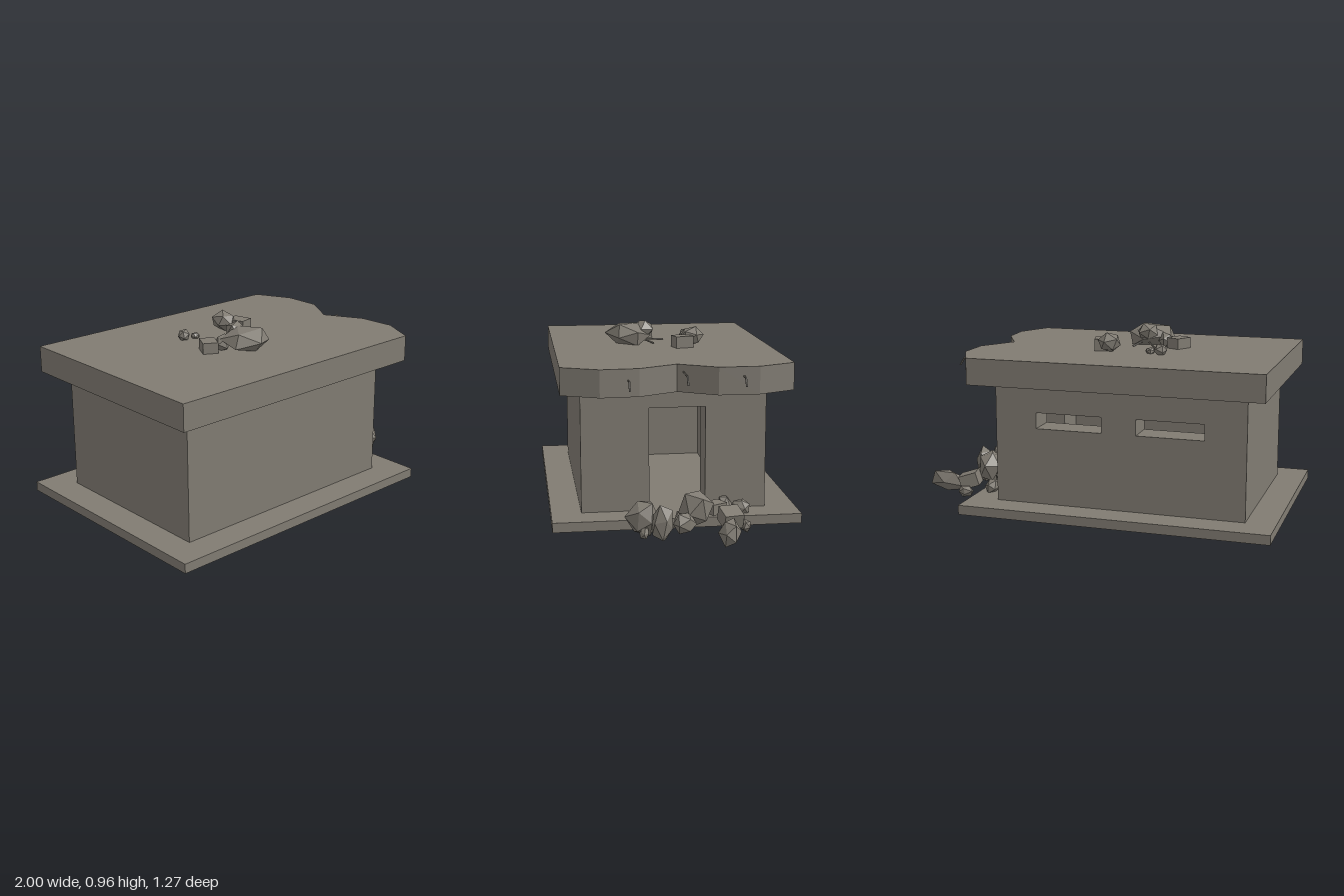
import * as THREE from 'three';

const concrete = new THREE.MeshStandardMaterial({ color: 0x807b72, flatShading: true });
concrete.name = 'concrete grey';

const shapeOf = pts => new THREE.Shape(pts.map(p => new THREE.Vector2(p[0], p[1])));
const extrude = (shape, depth) => new THREE.ExtrudeGeometry(shape, { depth, bevelEnabled: false });

export function createModel() {
  const model = new THREE.Group();
  model.name = 'ruinedBunker';

  const add = (name, geometry, parent = model) => {
    const mesh = new THREE.Mesh(geometry, concrete);
    mesh.name = name;
    parent.add(mesh);
    return mesh;
  };
  // Box given by its limits on each axis
  const block = (name, [x0, x1], [y0, y1], [z0, z1]) =>
    add(name, new THREE.BoxGeometry(x1 - x0, y1 - y0, z1 - z0)
      .translate((x0 + x1) / 2, (y0 + y1) / 2, (z0 + z1) / 2));

  // Foundation slab
  block('foundation', [-1, 0.645], [0.02, 0.07], [-0.635, 0.635]);

  // Walls around a hollow room
  const X0 = -0.845, X1 = 0.487, Y0 = 0.07, Y1 = 0.705, Z0 = -0.475, Z1 = 0.48, T = 0.16;
  block('frontWall', [X0, X1], [Y0, Y1], [Z1 - T, Z1]);
  block('rightWall', [X0, X0 + T], [Y0, Y1], [Z0 + T, Z1 - T]);

  // Back wall with two slit windows
  const back = shapeOf([[X0, Y0], [X1, Y0], [X1, Y1], [X0, Y1]]);
  for (const [a, b] of [[-0.63, -0.275], [-0.09, 0.264]]) {
    back.holes.push(shapeOf([[a, 0.473], [a, 0.557], [b, 0.557], [b, 0.473]]));
  }
  add('backWall', extrude(back, T).translate(0, 0, Z0));

  // Left wall with the doorway, drawn in z and y
  const door = shapeOf([[Z0 + T, Y0], [-0.16, Y0], [-0.16, 0.608], [0.13, 0.608],
    [0.13, Y0], [Z1 - T, Y0], [Z1 - T, Y1], [Z0 + T, Y1]]);
  add('doorWall', extrude(door, T).rotateY(-Math.PI / 2).translate(X1, 0, 0));

  // Roof slab with a broken edge, drawn in x and -z
  const roof = shapeOf([[-0.95, -0.585], [0.6, -0.585], [0.692, -0.395], [0.68, -0.2],
    [0.575, 0], [0.692, 0.19], [0.692, 0.395], [0.6, 0.59], [-0.95, 0.59]]);
  add('roof', extrude(roof, 0.14).rotateX(-Math.PI / 2).translate(0, 0.705, 0));

  // Bent bars sticking out of the broken edge
  const rod = (name, a, b, r = 0.005) => {
    const from = new THREE.Vector3(...a), to = new THREE.Vector3(...b);
    const dir = to.clone().sub(from);
    const mesh = add(name, new THREE.CylinderGeometry(r, r, dir.length(), 6));
    mesh.position.copy(from).add(to).multiplyScalar(0.5);
    mesh.quaternion.setFromUnitVectors(new THREE.Vector3(0, 1, 0), dir.normalize());
  };
  for (const [z, y, start, bend] of [[0.255, 0.787, 0.66, 0.73], [-0.03, 0.807, 0.57, 0.72], [-0.315, 0.797, 0.67, 0.735]]) {
    rod('rebar', [start, y, z], [bend, y, z]);
    rod('rebarHook', [bend - 0.003, y + 0.003, z], [bend + 0.025, y - 0.04, z]);
  }

  // Angular rocks, each fitted to its limits
  let seed = 7;
  const random = () => (seed = (seed * 16807) % 2147483647) / 2147483647;
  const rock = (name, xs, ys, zs, turn = 0) => {
    const g = new THREE.IcosahedronGeometry(1, 0);
    const p = g.attributes.position, v = new THREE.Vector3(), sizes = {};
    for (let i = 0; i < p.count; i++) {
      v.fromBufferAttribute(p, i);
      const key = v.toArray().map(n => Math.round(n * 100)).join();
      sizes[key] ??= 0.85 + 0.3 * random();
      v.multiplyScalar(sizes[key]);
      p.setXYZ(i, v.x, v.y, v.z);
    }
    g.rotateX(random() * 3).rotateZ(random() * 3);
    g.computeBoundingBox();
    const c = g.boundingBox.getCenter(new THREE.Vector3());
    const s = g.boundingBox.getSize(new THREE.Vector3());
    const lim = [xs, ys, zs];
    g.translate(-c.x, -c.y, -c.z);
    g.scale(...lim.map(([a, b], i) => (b - a) / s.getComponent(i)));
    g.rotateY(turn).translate(...lim.map(([a, b]) => (a + b) / 2));
    g.computeVertexNormals();
    add(name, g);
  };
  const chunk = (name, [x, y, z], size, turn, tilt = 0) => {
    const mesh = add(name, new THREE.BoxGeometry(...size));
    mesh.position.set(x, y, z);
    mesh.rotation.set(0, turn, tilt);
  };

  // Debris on the roof
  const R = 0.84;
  rock('roofRock', [-0.305, -0.065], [R, 0.955], [0.04, 0.295]);
  rock('roofRock', [-0.235, -0.12], [0.87, 0.97], [0.03, 0.14]);
  rock('roofRock', [-0.325, -0.24], [R, 0.925], [0.05, 0.145]);
  rock('roofRock', [-0.355, -0.28], [R, 0.9], [-0.205, -0.145]);
  rock('roofRock', [-0.285, -0.23], [R, 0.875], [-0.175, -0.135]);
  rock('roofRock', [-0.095, 0.02], [R, 0.95], [-0.235, -0.1]);
  chunk('roofChunk', [-0.355, 0.872, 0.07], [0.08, 0.06, 0.1], -0.5);
  chunk('roofChunk', [0.02, 0.875, -0.11], [0.08, 0.065, 0.1], 0.25);
  rod('roofRod', [-0.26, 0.85, -0.04], [-0.19, 0.865, 0.07]);
  rod('roofRod', [-0.11, 0.85, 0.03], [-0.15, 0.87, 0.09]);

  // Debris beside the doorway
  rock('groundRock', [0.67, 0.8], [0.02, 0.195], [0.115, 0.285]);
  rock('groundRock', [0.76, 0.865], [0.01, 0.2], [0.055, 0.155]);
  rock('groundRock', [0.72, 0.81], [0.03, 0.13], [-0.075, 0.045]);
  rock('groundRock', [0.625, 0.755], [0.04, 0.22], [-0.17, 0.01]);
  rock('groundRock', [0.795, 1.0], [0.015, 0.125], [-0.27, -0.155], -0.15);
  rock('groundRock', [0.7, 0.785], [0.02, 0.08], [-0.35, -0.295]);
  rock('groundRock', [0.77, 0.82], [0.02, 0.075], [0.17, 0.215]);
  rock('groundRock', [0.47, 0.53], [0.005, 0.135], [-0.3, -0.22]);
  rock('groundRock', [0.54, 0.62], [0.06, 0.135], [-0.375, -0.28]);
  chunk('groundChunk', [0.75, 0.1, -0.245], [0.1, 0.075, 0.1], 0.2, -0.3);
  chunk('groundChunk', [0.57, 0.095, -0.2], [0.08, 0.06, 0.09], 0.5);
  rod('groundRod', [0.6, 0.09, 0], [0.78, 0.06, 0.05]);

  return model;
}
